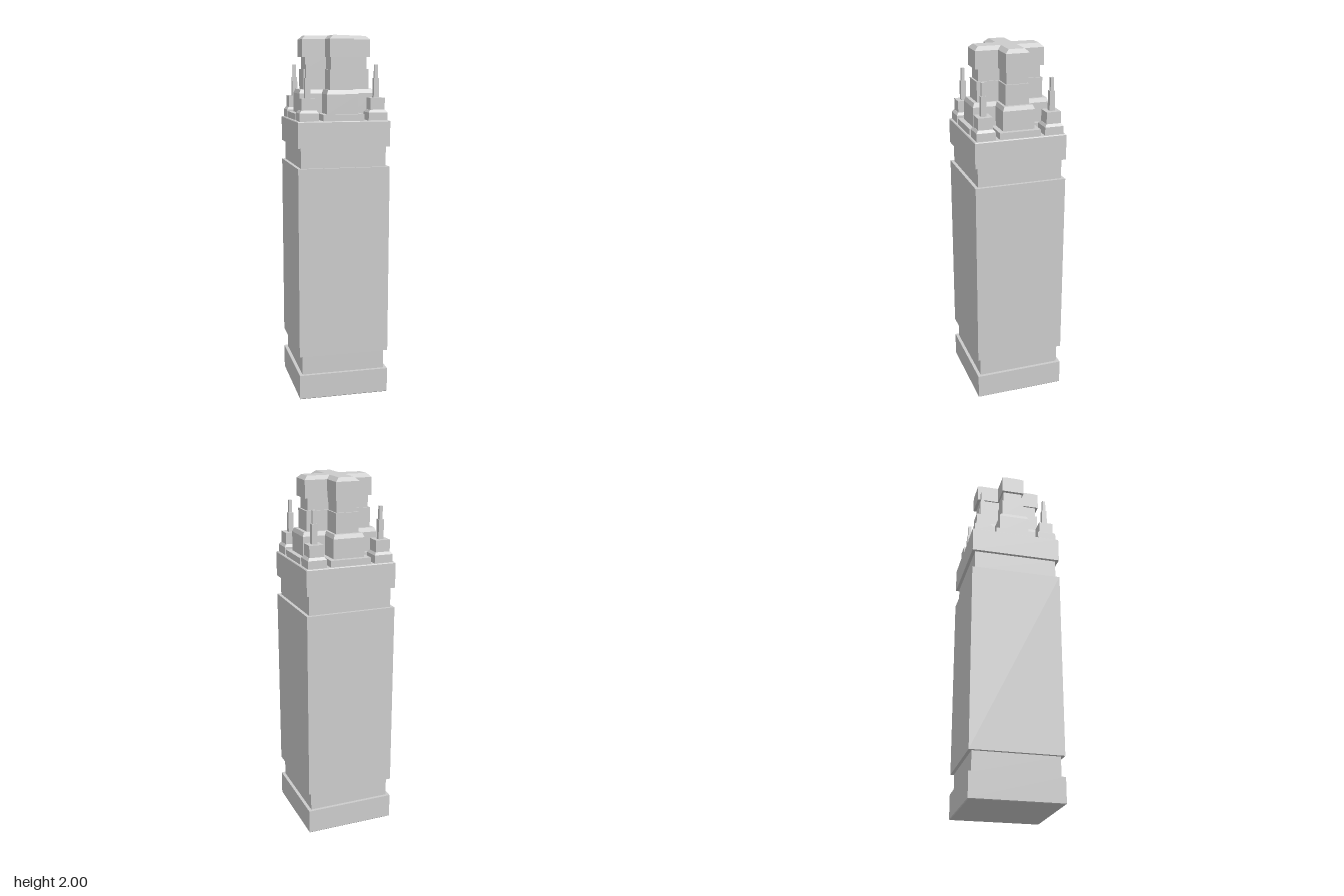
import * as THREE from 'three';

// Outlines listed in order around the y axis
const square = (h) => [[h, -h], [h, h], [-h, h], [-h, -h]];
const cross = (reach, h) => [
  [reach, -h], [reach, h], [h, h], [h, reach], [-h, reach], [-h, h],
  [-reach, h], [-reach, -h], [-h, -h], [-h, -reach], [h, -reach], [h, -h],
];

// Closed flat-sided solid through a stack of layers: [y, outline]
function loft(name, layers, material) {
  const pos = [];
  const tri = (...corners) => corners.forEach((c) => pos.push(...c));
  const rings = layers.map(([y, outline]) => outline.map(([x, z]) => [x, y, z]));
  const n = rings[0].length;
  const bottom = rings[0], top = rings[rings.length - 1];
  for (let i = 0; i < n; i++) {
    const j = (i + 1) % n;
    for (let k = 0; k < rings.length - 1; k++) {
      const lo = rings[k], hi = rings[k + 1];
      tri(lo[i], hi[i], lo[j]);
      tri(lo[j], hi[i], hi[j]);
    }
    tri([0, top[0][1], 0], top[j], top[i]);
    tri([0, bottom[0][1], 0], bottom[i], bottom[j]);
  }
  const geometry = new THREE.BufferGeometry();
  geometry.setAttribute('position', new THREE.Float32BufferAttribute(pos, 3));
  geometry.computeVertexNormals();
  const mesh = new THREE.Mesh(geometry, material);
  mesh.name = name;
  return mesh;
}

export function createModel() {
  const group = new THREE.Group();
  group.name = 'tower';
  const material = new THREE.MeshStandardMaterial({ color: 0xcccccc, flatShading: true });
  const squareTier = (name, ...layers) =>
    loft(name, layers.map(([y, h]) => [y, square(h)]), material);
  const crossTier = (name, ...layers) =>
    loft(name, layers.map(([y, r, h]) => [y, cross(r, h)]), material);

  // Square tower body with two recessed bands
  group.add(
    squareTier('base', [0, 0.249], [0.004, 0.253], [0.14, 0.253]),
    squareTier('lowerBand', [0.14, 0.235], [0.25, 0.235]),
    squareTier('shaft', [0.25, 0.253], [1.3, 0.253]),
    squareTier('upperBand', [1.3, 0.235], [1.41, 0.235]),
    squareTier('cap', [1.41, 0.253], [1.546, 0.253], [1.55, 0.249]),
  );

  // Cross-shaped crown, stepping inward to a wider bevelled head
  group.add(
    crossTier('crownPlinth', [1.55, 0.24, 0.113], [1.585, 0.24, 0.113]),
    crossTier('crownBase', [1.585, 0.212, 0.087], [1.69, 0.212, 0.087], [1.712, 0.203, 0.078]),
    crossTier('crownLower', [1.712, 0.183, 0.064], [1.82, 0.183, 0.064]),
    crossTier('crownNeck', [1.82, 0.173, 0.056], [1.885, 0.173, 0.056]),
    crossTier('crownHead', [1.885, 0.19, 0.065], [1.98, 0.19, 0.065], [2, 0.169, 0.043]),
  );

  // Corner turrets with stepped pinnacles
  for (const sx of [1, -1]) {
    for (const sz of [1, -1]) {
      const turret = new THREE.Group();
      turret.name = (sz > 0 ? 'front' : 'back') + (sx > 0 ? 'Left' : 'Right') + 'Turret';
      turret.add(
        squareTier('turretBase', [1.55, 0.052], [1.593, 0.052], [1.607, 0.041]),
        squareTier('turretBlock', [1.607, 0.04], [1.67, 0.04]),
        squareTier('pinnacleLower', [1.67, 0.0145], [1.775, 0.0145]),
        squareTier('pinnacleUpper', [1.775, 0.009], [1.845, 0.009]),
      );
      turret.position.set(sx * 0.188, 0, sz * 0.188);
      group.add(turret);
    }
  }
  return group;
}
